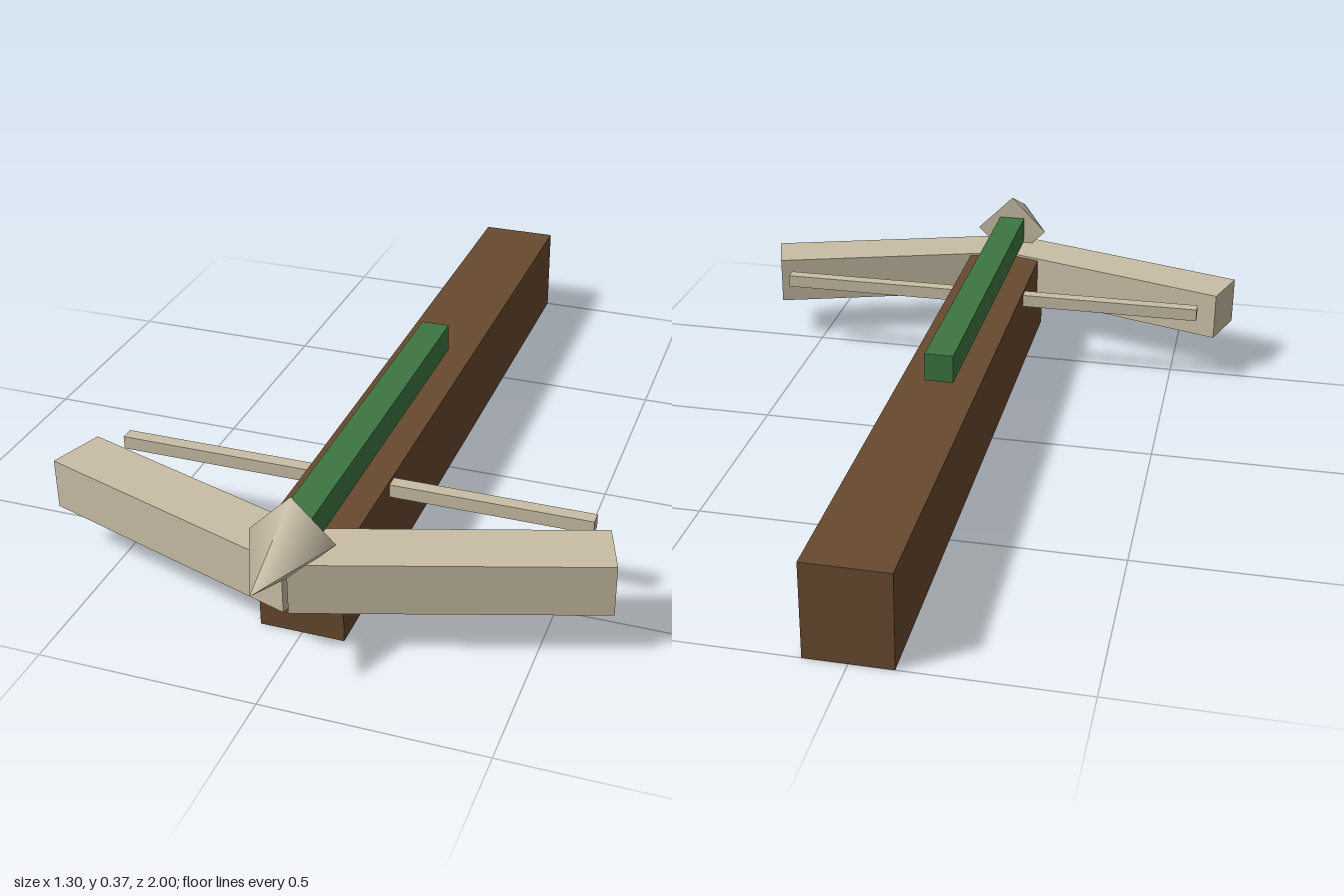
import * as THREE from 'three';

const material = (color) => new THREE.MeshStandardMaterial({ color });

export function createModel() {
  const model = new THREE.Group();
  model.name = 'crossbow';
  const brown = material(0x67492e);
  const green = material(0x3d7542);
  const tan = material(0xc8bda5);

  const add = (name, geometry, mat, x, y, z) => {
    const mesh = new THREE.Mesh(geometry, mat);
    mesh.name = name;
    mesh.position.set(x, y, z);
    model.add(mesh);
    return mesh;
  };
  const box = (w, h, d) => new THREE.BoxGeometry(w, h, d);

  // Long wooden stock
  add('stock', box(0.194, 0.226, 1.75), brown, 0, 0.113, -0.125);

  // Swept-back bow arms, mirrored
  for (const side of [1, -1]) {
    const arm = add(side > 0 ? 'leftArm' : 'rightArm', box(0.68, 0.122, 0.136), tan, side * 0.308, 0.171, 0.662);
    arm.rotation.y = side * THREE.MathUtils.degToRad(18);
  }

  // Straight bowstring passing through the stock
  add('bowstring', box(1.13, 0.032, 0.032), tan, 0, 0.202, 0.437);

  // Bolt shaft resting above the stock
  add('boltShaft', box(0.07, 0.07, 0.96), green, 0, 0.27, 0.3);

  // Four-sided, smooth-shaded bolt head
  const head = add('boltHead', new THREE.ConeGeometry(0.097, 0.22, 4), tan, 0, 0.269, 0.89);
  head.rotation.x = Math.PI / 2;

  return model;
}
